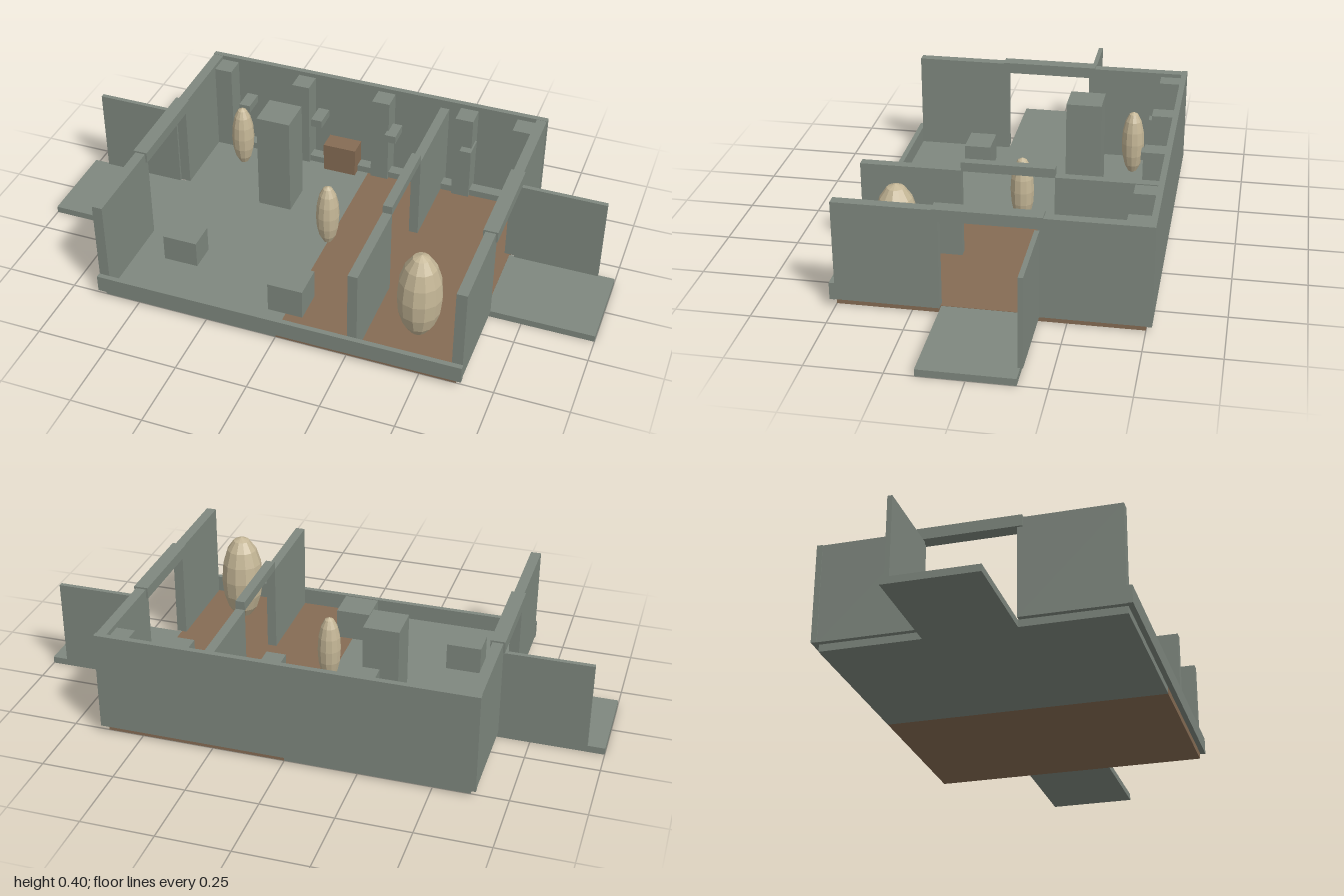
import * as THREE from 'three';

export function createModel() {
  const model = new THREE.Group();
  model.name = 'openRoom';
  const material = (name, color, flatShading = false) => {
    const m = new THREE.MeshStandardMaterial({ color, flatShading });
    m.name = name;
    return m;
  };
  const grey = material('greyStone', 0x7f887f);
  const brown = material('brownWood', 0x866c54);
  const sand = material('paleSand', 0xc4b696, true);

  // Box given by its limits on each axis
  const box = (name, mat, x0, x1, y0, y1, z0, z1) => {
    const mesh = new THREE.Mesh(new THREE.BoxGeometry(x1 - x0, y1 - y0, z1 - z0), mat);
    mesh.position.set((x0 + x1) / 2, (y0 + y1) / 2, (z0 + z1) / 2);
    mesh.name = name;
    model.add(mesh);
  };
  const F = 0.025; // floor level

  // Two-tone floor
  box('greyFloor', grey, -0.625, 0, 0, F, -0.5, 0.5);
  box('brownFloor', brown, 0, 0.625, 0, F, -0.5, 0.5);

  // Back wall and low front wall
  box('backWall', grey, -0.645, 0.645, F, 0.375, -0.52, -0.5);
  box('frontCurb', grey, -0.645, 0.645, F, 0.085, 0.5, 0.518);

  // Side walls with doorway, lintel, open door and outside landing
  for (const s of [-1, 1]) {
    const side = (name, a, b, y0, y1, z0, z1) =>
      box(name, grey, Math.min(s * a, s * b), Math.max(s * a, s * b), y0, y1, z0, z1);
    side('sideWallFront', 0.607, 0.643, F, 0.374, 0.157, 0.5);
    side('sideWallBack', 0.607, 0.643, F, 0.374, -0.5, -0.157);
    side('sideLintel', 0.6, 0.65, 0.34, 0.38, -0.175, 0.175);
    side('openDoor', 0.643, 0.942, F, 0.333, -0.164, -0.148);
    side('landing', 0.625, 1, 0, F - 0.001, -0.155, 0.155);
  }

  // Partition with its own doorway
  box('partitionFront', grey, 0.252, 0.285, F, 0.342, 0.157, 0.5);
  box('partitionBack', grey, 0.252, 0.285, F, 0.342, -0.5, -0.157);
  box('partitionLintel', grey, 0.252, 0.285, 0.34, 0.372, -0.157, 0.157);

  // Columns along the back wall
  for (const x of [-0.575, -0.265, 0.047, 0.362, 0.572])
    box('column', grey, x - 0.033, x + 0.033, F, 0.36, -0.498, -0.425);

  // Low rail between the columns and small wall brackets
  box('baseRail', grey, -0.545, 0.54, F, 0.05, -0.477, -0.436);
  for (const x of [-0.48, -0.192, 0.095, 0.38])
    box('bracket', grey, x - 0.021, x + 0.021, 0.215, 0.245, -0.477, -0.396);

  // Pillar, blocks and chest
  box('pillar', grey, -0.315, -0.192, F, 0.4, -0.25, -0.125);
  box('sideBlock', grey, -0.504, -0.38, F, 0.123, 0.188, 0.285);
  box('frontBlock', grey, -0.064, 0.06, F, 0.135, 0.29, 0.407);
  box('chest', brown, -0.166, -0.042, F, 0.135, -0.475, -0.404);

  // Upright egg-shaped figures
  const egg = (name, x, z, r, top) => {
    const mesh = new THREE.Mesh(new THREE.SphereGeometry(1, 12, 8), sand);
    mesh.scale.set(r, (top - F) / 2, r);
    mesh.position.set(x, (top + F) / 2, z);
    mesh.name = name;
    model.add(mesh);
  };
  egg('backFigure', -0.465, -0.34, 0.042, 0.272);
  egg('centreFigure', 0, 0, 0.042, 0.272);
  egg('largeFigure', 0.445, 0.338, 0.077, 0.357);

  return model;
}
